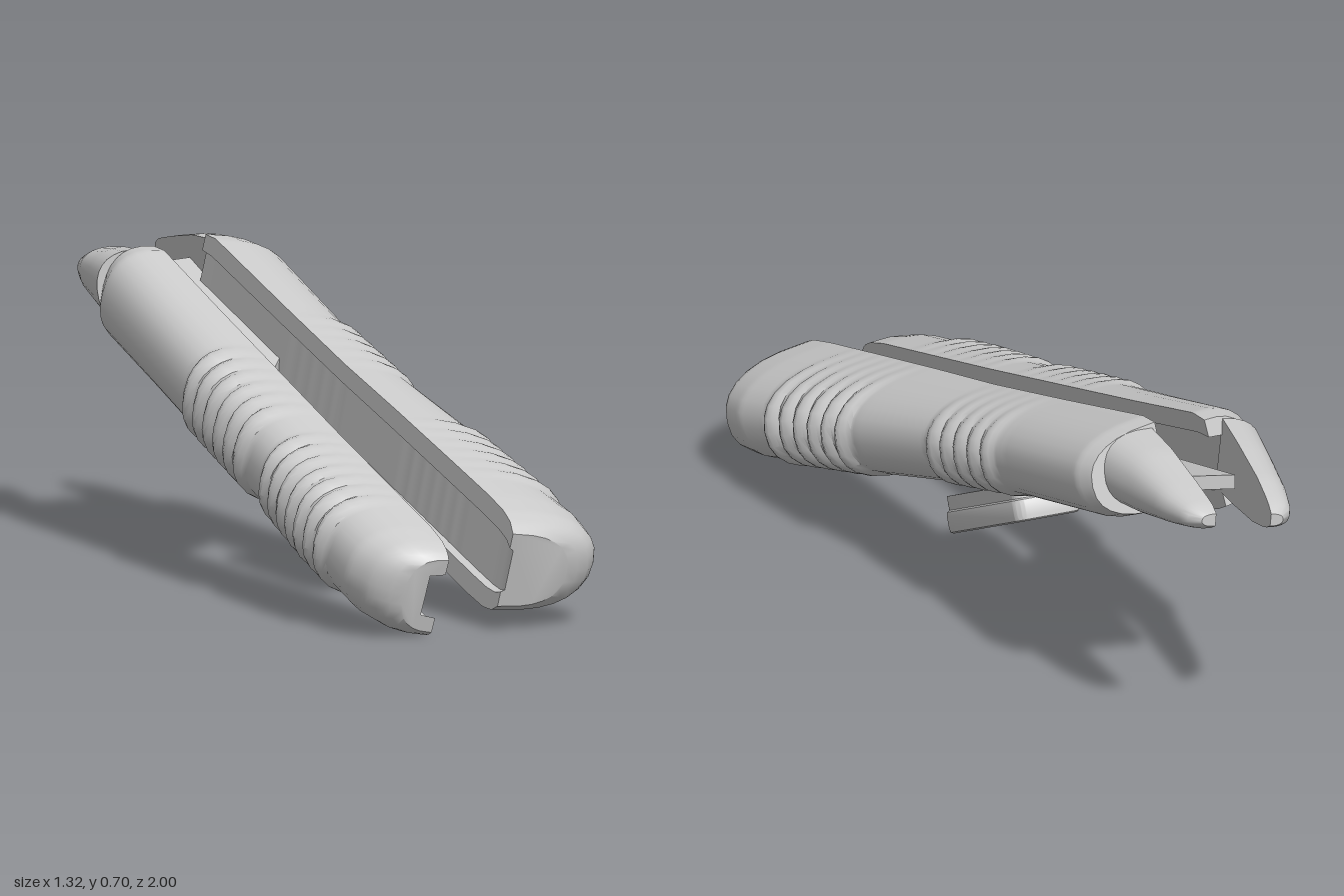
import * as THREE from 'three';
import { toCreasedNormals } from 'three/addons/utils/BufferGeometryUtils.js';

const material = new THREE.MeshStandardMaterial({ color: 0xcccccc, side: THREE.DoubleSide });
const V = (x, y, z) => new THREE.Vector3(x, y, z);

function addMesh(parent, name, geometry) {
  const mesh = new THREE.Mesh(toCreasedNormals(geometry, 0.6), material);
  mesh.name = name;
  parent.add(mesh);
  return mesh;
}

// Interpolate a column of rows [t, width, height]
function sample(rows, t, k) {
  let i = 0;
  while (i < rows.length - 2 && t > rows[i + 1][0]) i++;
  const f = (t - rows[i][0]) / (rows[i + 1][0] - rows[i][0]);
  return THREE.MathUtils.lerp(rows[i][k], rows[i + 1][k], f);
}

// D-shaped section: rounded outside, flat inside with an optional groove
function section(w, h, groove) {
  const pts = [];
  for (let j = 0; j <= 14; j++) {
    const a = -Math.PI / 2 + Math.PI * j / 14;
    const s = Math.sin(a);
    pts.push([w * Math.pow(Math.max(0, Math.cos(a)), 0.75), h / 2 * Math.sign(s) * Math.pow(Math.abs(s), 0.85)]);
  }
  const g = groove * w;
  pts.push([0, h * 0.3], [g, h * 0.27], [g, -h * 0.27], [0, -h * 0.3]);
  return pts;
}

// Sweep the section from a to b; sign gives the side the round back faces
function sweep({ a, b, sign, roll, rows, groove = 0, ridges = [], steps = 140 }) {
  const p = b.clone().sub(a).normalize();
  const side = V(p.z, 0, -p.x).normalize();
  if (side.x * sign < 0) side.negate();
  const up = side.clone().cross(p).normalize();
  if (up.y < 0) up.negate();
  side.applyAxisAngle(p, roll);
  up.applyAxisAngle(p, roll);
  const flip = side.clone().cross(up).dot(p) < 0;
  const pos = [], index = [];
  const tri = (x, y, z) => (flip ? index.push(x, z, y) : index.push(x, y, z));
  let n = 0, first, last;
  for (let i = 0; i <= steps; i++) {
    const t = i / steps;
    const w = sample(rows, t, 1), h = sample(rows, t, 2);
    const pts = section(w, h, groove);
    n = pts.length;
    if (i === 0) first = pts;
    last = pts;
    for (const [s, v] of pts) {
      let r = 0;
      // Grip ridges, slightly slanted and fading toward the inner face
      for (const [t0, t1, count, size] of ridges) {
        const u = (t + 0.05 * v - t0) / (t1 - t0);
        if (u > 0 && u < 1) r = size * Math.abs(Math.sin(Math.PI * u * count)) * Math.min(1, s / w * 1.3);
      }
      const q = a.clone().lerp(b, t).addScaledVector(side, s + r).addScaledVector(up, v * (1 + r * 3));
      pos.push(q.x, q.y, q.z);
    }
  }
  for (let i = 0; i < steps; i++) for (let j = 0; j < n; j++) {
    const k = (j + 1) % n, c = i * n, d = c + n;
    tri(c + j, c + k, d + k);
    tri(c + j, d + k, d + j);
  }
  const caps = pts => THREE.ShapeUtils.triangulateShape(pts.map(q => new THREE.Vector2(...q)), []);
  caps(first).forEach(([x, y, z]) => tri(x, z, y));
  caps(last).forEach(([x, y, z]) => tri(steps * n + x, steps * n + y, steps * n + z));
  const geometry = new THREE.BufferGeometry();
  geometry.setAttribute('position', new THREE.Float32BufferAttribute(pos, 3));
  geometry.setIndex(index);
  return geometry;
}

function roundedRect(Type, w, l, r) {
  const s = new Type();
  [[1, -1, -90], [1, 1, 0], [-1, 1, 90], [-1, -1, 180]].forEach(([x, y, deg]) => {
    const a = THREE.MathUtils.degToRad(deg);
    s.absarc(x * (w / 2 - r), y * (l / 2 - r), r, a, a + Math.PI / 2, false);
  });
  s.closePath();
  return s;
}

export function createModel() {
  const model = new THREE.Group();

  // Handles, from the back collar to the rounded front end
  addMesh(model, 'leftHandle', sweep({
    a: V(-0.375, 0.61, -0.645), b: V(0.463, 0.148, 0.84), sign: 1, roll: -0.1, groove: 0.06,
    rows: [[0, 0.19, 0.2], [0.03, 0.205, 0.22], [0.25, 0.187, 0.215], [0.45, 0.197, 0.215], [0.62, 0.23, 0.23],
      [0.8, 0.25, 0.24], [0.91, 0.272, 0.245], [0.96, 0.26, 0.24], [0.985, 0.225, 0.22], [1, 0.16, 0.18]],
    ridges: [[0.28, 0.46, 5, 0.013], [0.64, 0.85, 6, 0.018]],
  }));
  addMesh(model, 'rightHandle', sweep({
    a: V(-0.492, 0.585, -0.585), b: V(0.322, 0.1, 0.945), sign: -1, roll: -0.13, groove: 0.4,
    rows: [[0, 0.105, 0.21], [0.03, 0.13, 0.235], [0.2, 0.14, 0.23], [0.42, 0.155, 0.23], [0.62, 0.165, 0.23],
      [0.78, 0.185, 0.235], [0.93, 0.185, 0.24], [0.97, 0.16, 0.23], [0.99, 0.13, 0.21], [1, 0.095, 0.18]],
    ridges: [[0.34, 0.56, 6, 0.018], [0.62, 0.86, 7, 0.018]],
  }));

  // Tapered jaw tips emerging from the collars
  addMesh(model, 'leftTip', sweep({
    a: V(-0.34, 0.605, -0.64), b: V(-0.5, 0.618, -0.985), sign: 1, roll: -0.1, steps: 16,
    rows: [[0, 0.13, 0.18], [0.3, 0.11, 0.16], [0.7, 0.09, 0.1], [0.93, 0.065, 0.06], [1, 0.035, 0.03]],
  }));
  addMesh(model, 'rightTip', sweep({
    a: V(-0.5, 0.597, -0.55), b: V(-0.625, 0.592, -0.925), sign: -1, roll: -0.1, steps: 16,
    rows: [[0, 0.1, 0.17], [0.3, 0.09, 0.15], [0.7, 0.075, 0.11], [0.92, 0.06, 0.065], [1, 0.03, 0.03]],
  }));

  // Thin plate bridging the handles, tilted by a shear rule
  const outline = [[-0.54, -0.72], [-0.4, -0.77], [-0.15, -0.29], [-0.165, -0.19], [-0.22, -0.09], [-0.3, -0.12]];
  const plate = new THREE.ExtrudeGeometry(new THREE.Shape(outline.map(([x, z]) => new THREE.Vector2(x, -z))),
    { depth: 0.035, bevelEnabled: false });
  plate.rotateX(-Math.PI / 2);
  const p = plate.attributes.position;
  for (let i = 0; i < p.count; i++) p.setY(i, p.getY(i) + 0.35 - 0.32 * p.getZ(i));
  addMesh(model, 'plate', plate);

  // Shallow tray hung beneath the gap
  const tray = new THREE.Group();
  tray.name = 'lever';
  const floor = roundedRect(THREE.Shape, 0.15, 0.44, 0.03);
  const rim = roundedRect(THREE.Shape, 0.15, 0.44, 0.03);
  rim.holes.push(roundedRect(THREE.Path, 0.1, 0.34, 0.02));
  addMesh(tray, 'leverFloor', new THREE.ExtrudeGeometry(floor,
    { depth: 0.03, bevelThickness: 0.012, bevelSize: 0.008, bevelSegments: 2 }));
  addMesh(tray, 'leverRim', new THREE.ExtrudeGeometry(rim, { depth: 0.045, bevelEnabled: false })).position.z = 0.03;
  const along = V(-0.18, 0.2, -0.38).normalize();
  const across = V(0.38, 0, -0.18).normalize();
  tray.quaternion.setFromRotationMatrix(new THREE.Matrix4().makeBasis(across, along, across.clone().cross(along)));
  tray.position.set(-0.02, 0.172, 0.04);
  model.add(tray);

  return model;
}
